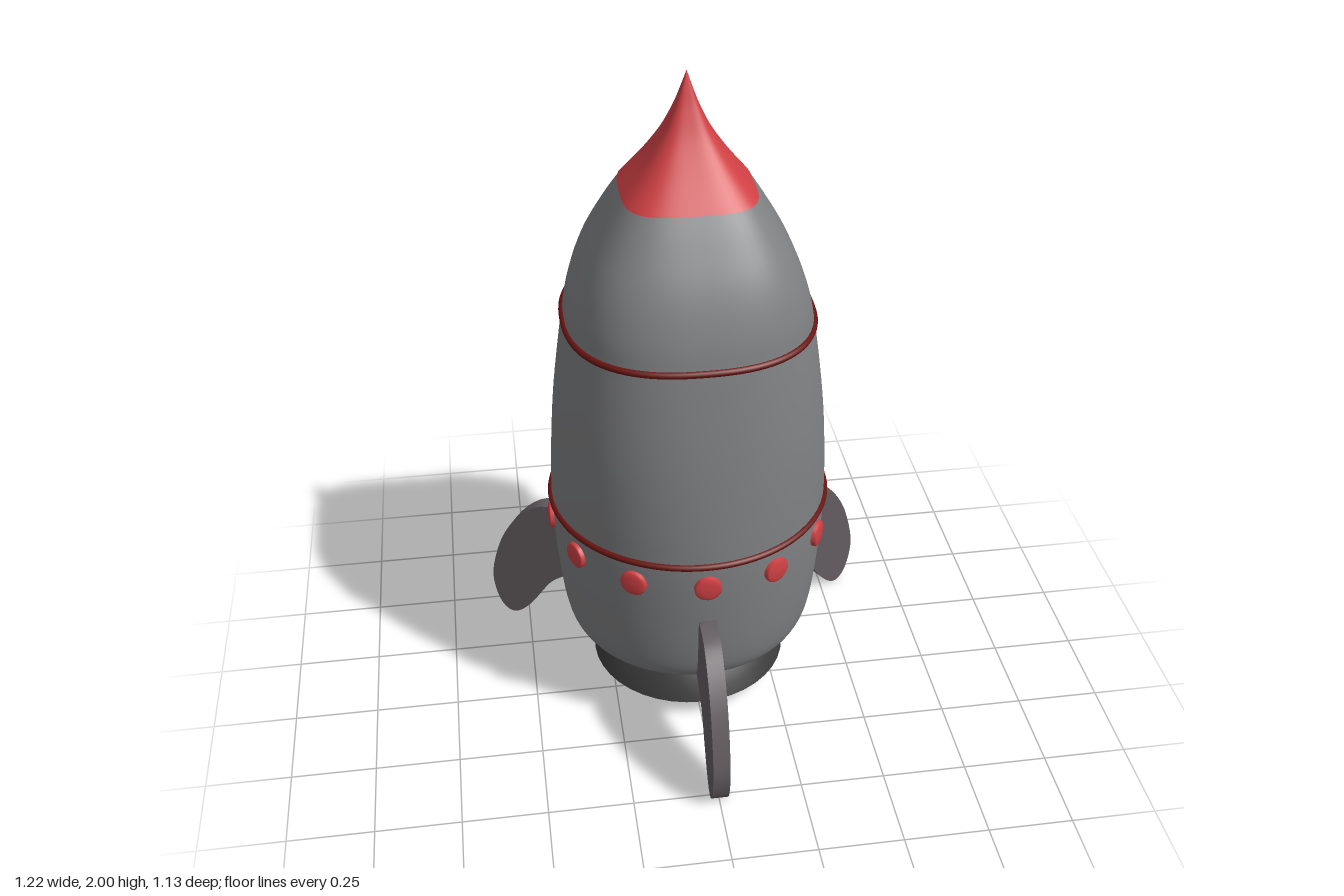
import * as THREE from 'three';
import { mergeVertices, toCreasedNormals } from 'three/addons/utils/BufferGeometryUtils.js';

const AXIS_Z = -0.127; // the hull axis sits behind the centre, balancing the front fin

const mat = (color, side = THREE.FrontSide) => new THREE.MeshStandardMaterial({ color, side });
const hullGrey = mat(0x808183, THREE.DoubleSide);
const red = mat(0xd04044, THREE.DoubleSide);
const darkRed = mat(0x6a1512);
const finGrey = mat(0x655e62);
const charcoal = mat(0x3a3a3a, THREE.DoubleSide);
const glassBlue = mat(0x7fb2c6);

const vec2s = (pts) => pts.map(([x, y]) => new THREE.Vector2(x, y));

function add(parent, name, geometry, material) {
  const mesh = new THREE.Mesh(geometry, material);
  mesh.name = name;
  parent.add(mesh);
  return mesh;
}

// Cross-section is round low down and turns into a rounded square near the nose
function roundness(y) {
  if (y < 0.7) return 2;
  if (y < 1.29) return 2 + 0.45 * (y - 0.7) / 0.59;
  return 2.45 + 1.15 * Math.min(1, (y - 1.29) / 0.38);
}

function squircleScale(angle, y) {
  const n = roundness(y);
  return Math.pow(Math.abs(Math.cos(angle)) ** n + Math.abs(Math.sin(angle)) ** n, -1 / n);
}

// Smooth lathe whose rings are reshaped into the cross-section above
function squircleLathe(points, samples) {
  const profile = new THREE.SplineCurve(vec2s(points)).getPoints(samples);
  profile.forEach((p) => { p.x = Math.max(0, p.x); });
  const geo = new THREE.LatheGeometry(profile, 72);
  const pos = geo.attributes.position;
  for (let i = 0; i < pos.count; i++) {
    const x = pos.getX(i), y = pos.getY(i), z = pos.getZ(i);
    const k = squircleScale(Math.atan2(x, z), y);
    pos.setX(i, x * k);
    pos.setZ(i, z * k);
  }
  geo.deleteAttribute('uv');
  geo.deleteAttribute('normal');
  const merged = mergeVertices(geo, 1e-5);
  merged.computeVertexNormals();
  return merged;
}

// Thin hoop that follows the hull cross-section
function hoop(radius, y) {
  const pts = [];
  for (let i = 0; i < 48; i++) {
    const a = (i / 48) * Math.PI * 2;
    const r = radius * squircleScale(a, y);
    pts.push(new THREE.Vector3(Math.sin(a) * r, y, Math.cos(a) * r));
  }
  return new THREE.TubeGeometry(new THREE.CatmullRomCurve3(pts, true), 96, 0.01, 8, true);
}

function finGeometry() {
  const shape = new THREE.Shape();
  shape.moveTo(0.36, 0.235);
  shape.splineThru(vec2s([[0.42, 0.212], [0.475, 0.17], [0.517, 0.11], [0.555, 0.055],
    [0.597, 0.012], [0.635, 0.001], [0.67, 0.035], [0.69, 0.11], [0.685, 0.185],
    [0.645, 0.31], [0.58, 0.41], [0.5, 0.472], [0.41, 0.48]]));
  shape.lineTo(0.37, 0.46);
  const geo = new THREE.ExtrudeGeometry(shape, { depth: 0.05, bevelEnabled: false, curveSegments: 3 });
  geo.translate(0, 0, -0.025);
  return toCreasedNormals(geo, 0.6);
}

export function createModel() {
  const model = new THREE.Group();
  model.name = 'rocket';
  const rocket = new THREE.Group();
  rocket.name = 'hullAssembly';
  rocket.position.z = AXIS_Z;
  model.add(rocket);

  // Hull and nose cone
  add(rocket, 'hull', squircleLathe([[0, 0.2], [0.15, 0.2], [0.27, 0.202], [0.33, 0.213], [0.363, 0.24],
    [0.385, 0.31], [0.402, 0.46], [0.412, 0.66], [0.404, 0.86], [0.387, 1.05], [0.352, 1.29],
    [0.325, 1.4], [0.285, 1.5], [0.228, 1.6], [0.183, 1.67]], 70), hullGrey);
  add(rocket, 'noseCone', squircleLathe([[0.185, 1.67], [0.123, 1.75], [0.07, 1.83], [0.036, 1.9],
    [0.017, 1.95], [0, 2]], 24), red);

  // Trim hoops
  add(rocket, 'lowerHoop', hoop(0.413, 0.685), darkRed);
  add(rocket, 'upperHoop', hoop(0.352, 1.29), darkRed);

  // Flared engine nozzle, closed underneath
  const nozzle = new THREE.LatheGeometry(vec2s([[0, 0.045], [0.2, 0.048], [0.29, 0.056], [0.302, 0.064],
    [0.285, 0.1], [0.255, 0.145], [0.22, 0.18], [0.17, 0.205], [0.15, 0.22]]), 40);
  add(rocket, 'engineNozzle', toCreasedNormals(nozzle, 0.7), charcoal);

  // Ring of twelve rivets
  const rivet = new THREE.LatheGeometry(vec2s([[0.04, -0.02], [0.04, 0.011], [0.034, 0.015],
    [0.02, 0.017], [0, 0.018]]), 20);
  rivet.rotateX(Math.PI / 2);
  for (let i = 0; i < 12; i++) {
    const a = (i / 12) * Math.PI * 2;
    const mesh = add(rocket, 'rivet', rivet, red);
    mesh.position.set(Math.sin(a) * 0.409, 0.61, Math.cos(a) * 0.409);
    mesh.rotation.y = a;
  }

  // Three fins: one in front, two towards the back
  const fin = finGeometry();
  [['frontFin', -90], ['backLeftFin', 30], ['backRightFin', 150]].forEach(([name, deg]) => {
    add(rocket, name, fin, finGrey).rotation.y = THREE.MathUtils.degToRad(deg);
  });

  // Round porthole on the back
  const porthole = new THREE.Group();
  porthole.name = 'porthole';
  porthole.position.set(0, 1.06, 0);
  porthole.rotation.x = -Math.PI / 2;
  rocket.add(porthole);
  const frame = new THREE.LatheGeometry(vec2s([[0.135, 0.345], [0.18, 0.345], [0.18, 0.43], [0.174, 0.436],
    [0.141, 0.436], [0.135, 0.43], [0.135, 0.345]]), 40);
  add(porthole, 'portholeFrame', toCreasedNormals(frame, 0.6), charcoal);
  const glass = add(porthole, 'portholeGlass', new THREE.CylinderGeometry(0.136, 0.136, 0.03, 40), glassBlue);
  glass.position.y = 0.4;

  return model;
}
